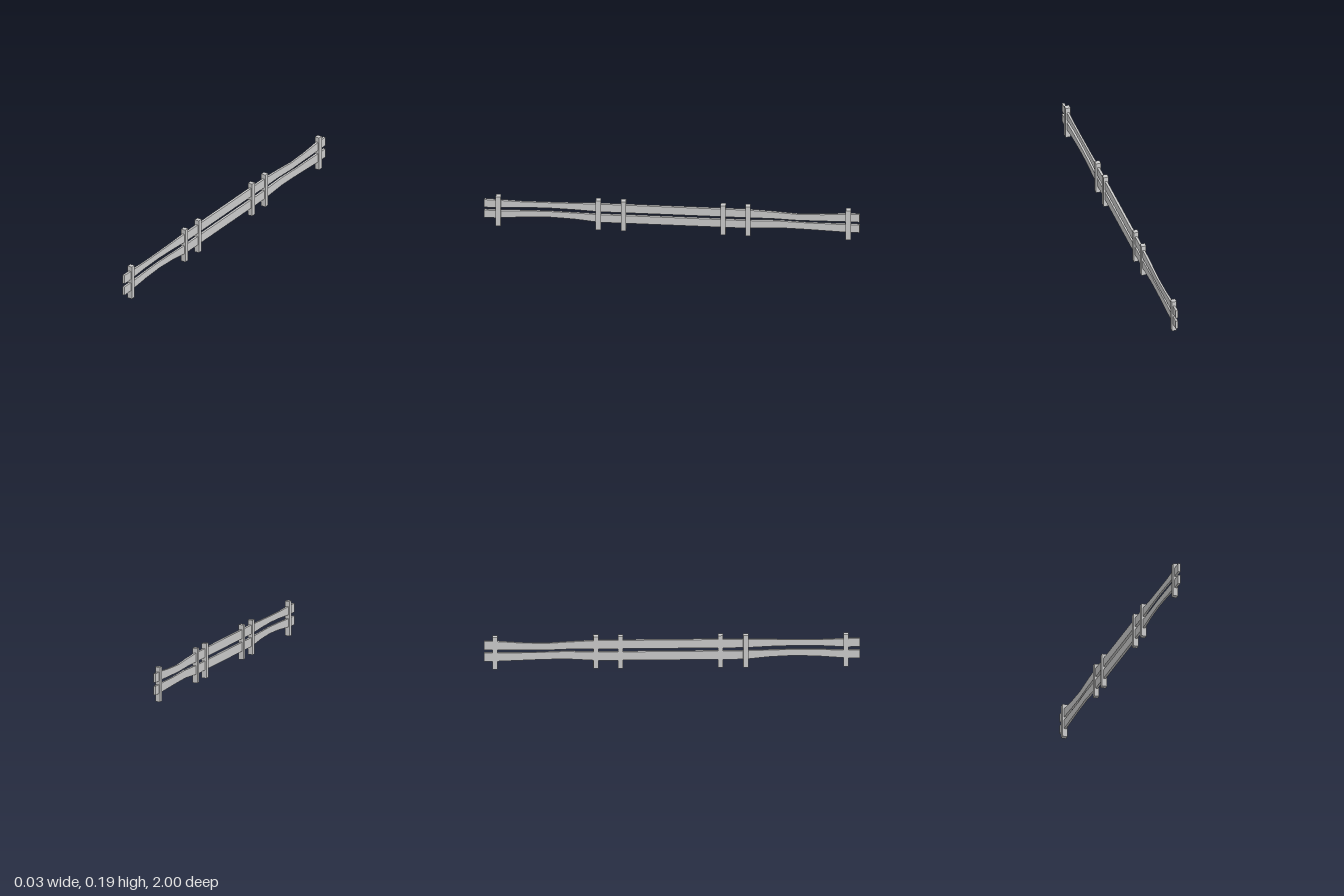
import * as THREE from 'three';

const material = new THREE.MeshStandardMaterial({ color: 0xcccccc, flatShading: true });

// Rail built from a box whose rings follow stations of [z, bottom, top, half thickness]
function makeRail(name, stations) {
  const geo = new THREE.BoxGeometry(1, 1, 1, 1, 1, stations.length - 1);
  const p = geo.attributes.position;
  for (let i = 0; i < p.count; i++) {
    const k = Math.round((p.getZ(i) + 0.5) * (stations.length - 1));
    const [z, bottom, top, half] = stations[k];
    p.setXYZ(i, Math.sign(p.getX(i)) * half, p.getY(i) > 0 ? top : bottom, z);
  }
  geo.computeVertexNormals();
  const mesh = new THREE.Mesh(geo, material);
  mesh.name = name;
  return mesh;
}

export function createModel() {
  const fence = new THREE.Group();
  fence.name = 'fence';

  // Square posts: three panels, with the middle ones paired
  const postHeight = 0.188;
  const postGeo = new THREE.BoxGeometry(0.027, postHeight, 0.027);
  [-0.94, -0.405, -0.273, 0.258, 0.392, 0.925].forEach((z, i) => {
    const post = new THREE.Mesh(postGeo, material);
    post.name = `post${i + 1}`;
    post.position.set(0, postHeight / 2, z);
    fence.add(post);
  });

  // Upper rail, sagging in the back panel and worn thin in the front one
  fence.add(makeRail('upperRail', [
    [-1, 0.113, 0.162, 0.0065],
    [-0.93, 0.113, 0.161, 0.0065],
    [-0.8, 0.11, 0.151, 0.005],
    [-0.67, 0.108, 0.147, 0.005],
    [-0.53, 0.114, 0.156, 0.006],
    [-0.4, 0.113, 0.162, 0.0065],
    [0.39, 0.113, 0.162, 0.0065],
    [0.52, 0.119, 0.159, 0.005],
    [0.66, 0.123, 0.157, 0.005],
    [0.8, 0.12, 0.156, 0.005],
    [0.93, 0.113, 0.16, 0.0065],
    [1, 0.113, 0.162, 0.0065],
  ]));

  // Lower rail, bowed upward in the front panel
  fence.add(makeRail('lowerRail', [
    [-1, 0.045, 0.094, 0.0065],
    [-0.93, 0.045, 0.094, 0.0065],
    [-0.72, 0.052, 0.094, 0.005],
    [-0.57, 0.056, 0.099, 0.006],
    [-0.4, 0.045, 0.094, 0.0065],
    [0.39, 0.045, 0.094, 0.0065],
    [0.52, 0.058, 0.097, 0.005],
    [0.65, 0.064, 0.1, 0.005],
    [0.78, 0.059, 0.098, 0.005],
    [0.93, 0.047, 0.093, 0.0065],
    [1, 0.045, 0.094, 0.0065],
  ]));

  return fence;
}
